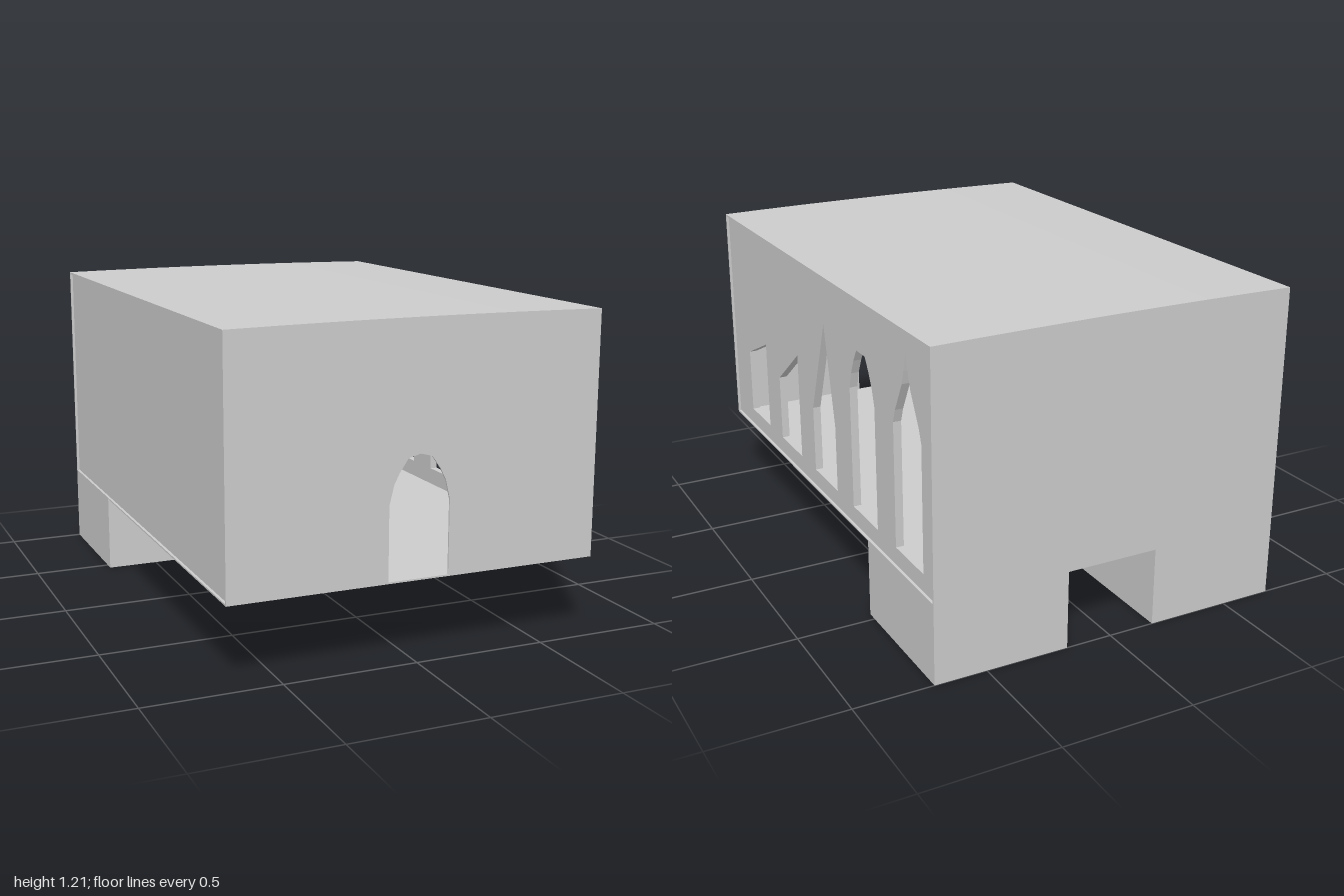
import * as THREE from 'three';

const material = new THREE.MeshStandardMaterial({ color: 0xcccccc, flatShading: true });

const outline = (points) => points.map(([a, b]) => new THREE.Vector2(a, b));

// Flat slab from an outline with optional openings, extruded along +z
function slab(points, depth, holes = []) {
  const shape = new THREE.Shape(outline(points));
  holes.forEach((h) => shape.holes.push(new THREE.Path(outline(h))));
  return new THREE.ExtrudeGeometry(shape, { depth, bevelEnabled: false });
}

const rect = (x0, x1, y0, y1) => [[x0, y0], [x1, y0], [x1, y1], [x0, y1]];

// Opening symmetric about its centre: the half profile runs from sill to crown
function symmetric(centre, half) {
  const right = half.map(([w, y]) => [centre + w, y]);
  const left = half.filter(([w]) => w > 0).map(([w, y]) => [centre - w, y]).reverse();
  return [...right, ...left];
}

export function createModel() {
  const group = new THREE.Group();
  const add = (name, geometry, x = 0, y = 0, z = 0) => {
    const mesh = new THREE.Mesh(geometry, material);
    mesh.name = name;
    mesh.position.set(x, y, z);
    group.add(mesh);
    return mesh;
  };

  // Front wall with a round-headed doorway
  const door = symmetric(0, [
    [0.115, 0.306], [0.115, 0.575], [0.098, 0.645], [0.078, 0.685], [0.045, 0.733], [0, 0.745],
  ]);
  add('frontWall', slab(rect(-0.7, 0.7, 0.3, 1.2), 0.006, [door]), 0, 0, 0.994);

  // Plain back wall
  add('backWall', slab(rect(-0.7, 0.7, 0.3, 1.2), 0.006), 0, 0, -1);

  // Side wall with five windows; outline is (-z, y)
  const sill = 0.373;
  const windows = [
    [[-0.815, sill], [-0.595, sill], [-0.595, 0.733], [-0.815, 0.636]],
    [[-0.445, sill], [-0.22, sill], [-0.22, 0.8], [-0.445, 0.636]],
    [[-0.07, sill], [0.155, sill], [0.155, 0.632], [0.075, 1.01], [-0.07, 0.632]],
    symmetric(0.42, [[0.11, sill], [0.11, 0.84], [0.092, 0.9], [0.066, 0.955], [0.037, 1.002]]),
    symmetric(0.795, [[0.11, sill], [0.11, 0.84], [0.092, 0.89], [0.033, 1.0], [0.018, 1.05], [0, 1.118]]),
  ];
  const sideOutline = rect(-0.994, 0.994, 0.3, 1.195);
  add('leftWindowWall', slab(sideOutline, 0.03, windows).rotateY(Math.PI / 2), 0.66);

  // Blank side wall
  add('rightWall', slab(sideOutline, 0.03).rotateY(Math.PI / 2), -0.69);

  // Floor, notched at the back between the supports; outline is (x, -z)
  const floor = [
    [-0.7, -1], [0.7, -1], [0.7, 1], [0.18, 1], [0.18, 0.46], [-0.18, 0.46], [-0.18, 1], [-0.7, 1],
  ];
  add('floor', slab(floor, 0.006).rotateX(-Math.PI / 2), 0, 0.3);

  // Roof with a very slight crown
  const roof = new THREE.BoxGeometry(1.4, 0.008, 2, 8, 1, 1);
  const p = roof.attributes.position;
  for (let i = 0; i < p.count; i++) {
    p.setY(i, p.getY(i) + 0.006 * (1 - (p.getX(i) / 0.7) ** 2));
  }
  roof.computeVertexNormals();
  add('roof', roof, 0, 1.197, 0);

  // Two support blocks at the back
  for (const side of [1, -1]) {
    add(side > 0 ? 'leftSupport' : 'rightSupport', new THREE.BoxGeometry(0.52, 0.3, 0.54), side * 0.44, 0.15, -0.73);
  }

  return group;
}
